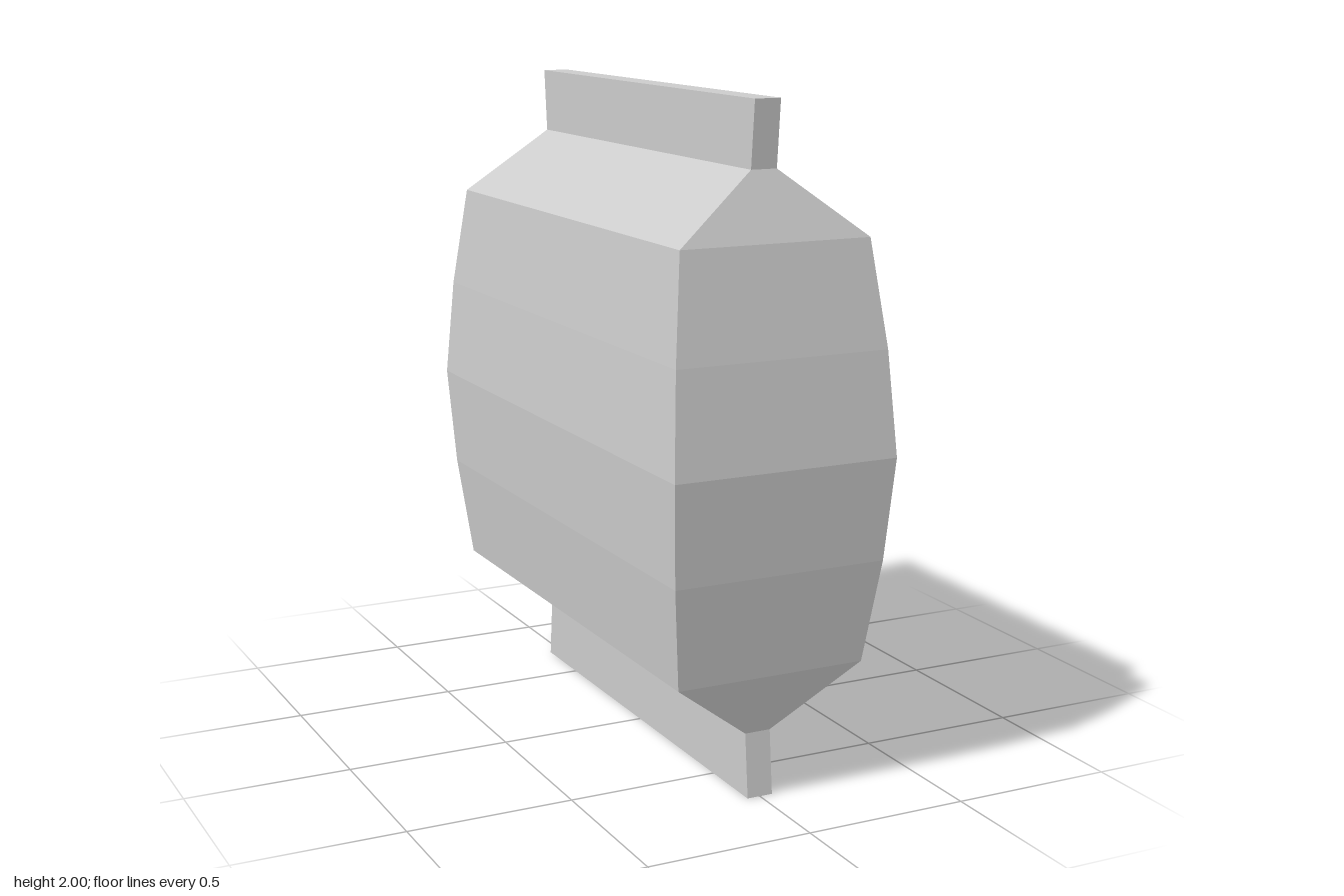
import * as THREE from 'three';

const material = new THREE.MeshStandardMaterial({ color: 0xcccccc, flatShading: true });

// Loft through rectangular sections [y, half width, half depth], listed from bottom to top
function loft(name, sections, { capBottom = false, capTop = false } = {}) {
  const rings = sections.map(([y, w, d]) => [[w, y, d], [w, y, -d], [-w, y, -d], [-w, y, d]]);
  const positions = [];
  const quad = (a, b, c, d) => positions.push(...a, ...b, ...c, ...a, ...c, ...d);

  for (let i = 0; i < rings.length - 1; i++) {
    for (let j = 0; j < 4; j++) {
      const k = (j + 1) % 4;
      quad(rings[i][j], rings[i][k], rings[i + 1][k], rings[i + 1][j]);
    }
  }
  if (capBottom) quad(...[...rings[0]].reverse());
  if (capTop) quad(...rings[rings.length - 1]);

  const geometry = new THREE.BufferGeometry();
  geometry.setAttribute('position', new THREE.Float32BufferAttribute(positions, 3));
  geometry.computeVertexNormals();
  const mesh = new THREE.Mesh(geometry, material);
  mesh.name = name;
  return mesh;
}

export function createModel() {
  const model = new THREE.Group();
  model.name = 'sealedPacket';

  // Upper half profiles, mirrored about y = 1 for the lower half
  const mirror = (sections) => sections.map(([y, w, d]) => [2 - y, w, d]).reverse();
  const middle = [1, 0.348, 0.853];
  const upperBody = [
    [1.305, 0.33, 0.822],
    [1.615, 0.295, 0.773],
    [1.808, 0.04, 0.695],
  ];
  const upperSeal = [
    [1.808, 0.04, 0.695],
    [2, 0.04, 0.713],
  ];

  // Bulging body with sloped shoulders
  model.add(loft('body', [...mirror(upperBody), middle, ...upperBody]));

  // Thin flared sealing strips
  model.add(loft('topSeal', upperSeal, { capTop: true }));
  model.add(loft('bottomSeal', mirror(upperSeal), { capBottom: true }));

  return model;
}
